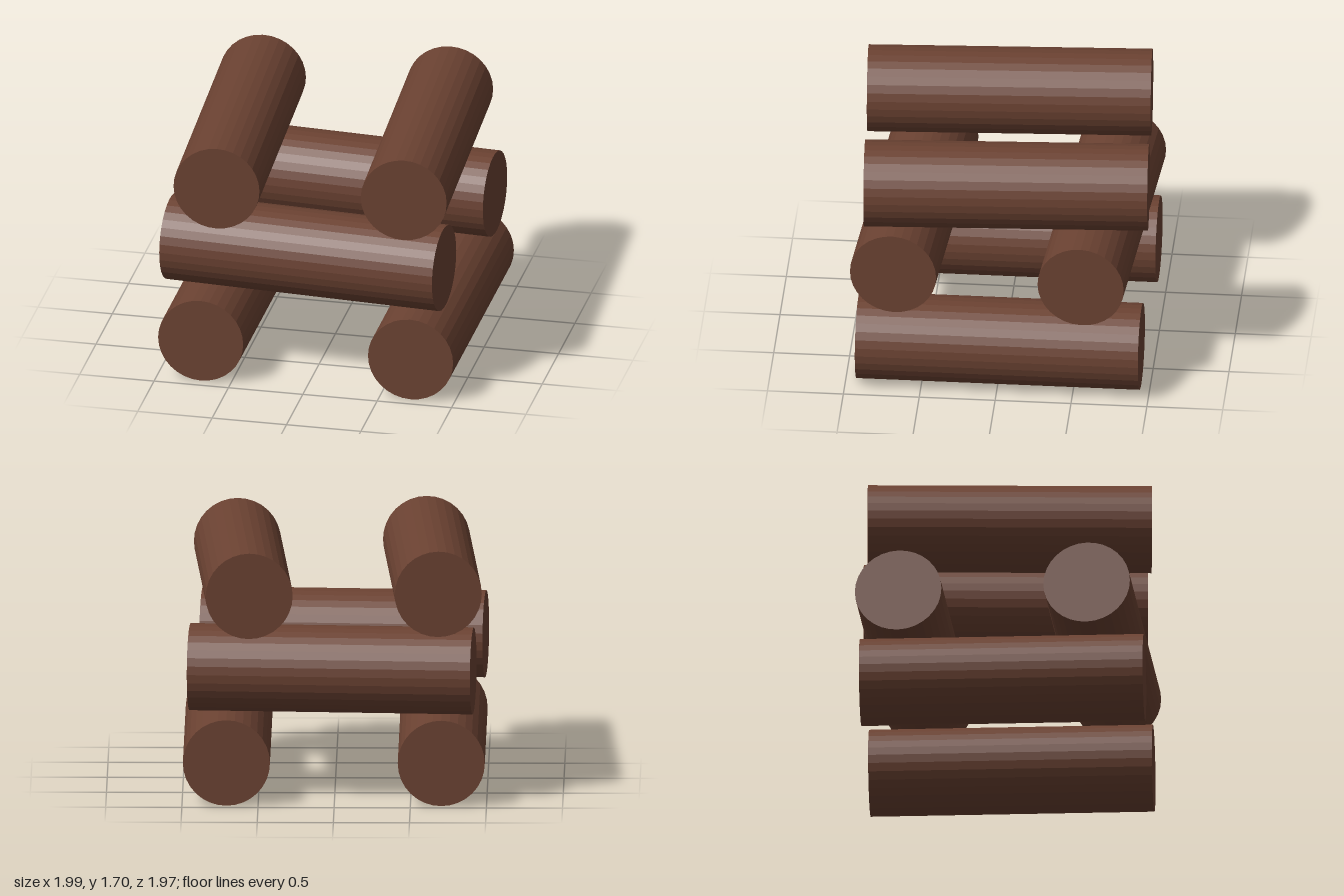
import * as THREE from 'three';

const RADIUS = 0.286;
const LENGTH = 1.865;

export function createModel() {
  const group = new THREE.Group();
  group.name = 'logStack';
  const bark = new THREE.MeshStandardMaterial({ color: 0x6b4232, flatShading: true });
  bark.name = 'brownWood';

  // One log lying along z, shared by the whole stack
  const logGeometry = new THREE.CylinderGeometry(RADIUS, RADIUS, LENGTH, 32).rotateX(Math.PI / 2);

  // name, centre x, y, z, turn about y in degrees
  const logs = [
    ['bottomLogRight', -0.703, 0.287, -0.007, 0],
    ['bottomLogLeft', 0.708, 0.287, -0.007, 0],
    ['middleLogFront', -0.05, 0.856, 0.62, 86.15],
    ['middleLogBack', 0.02, 0.856, -0.622, 86.15],
    ['topLogRight', -0.635, 1.41, 0.037, 2.95],
    ['topLogLeft', 0.606, 1.41, -0.043, 2.95],
  ];
  for (const [name, x, y, z, turn] of logs) {
    const log = new THREE.Mesh(logGeometry, bark);
    log.name = name;
    log.position.set(x, y, z);
    log.rotation.y = THREE.MathUtils.degToRad(turn);
    group.add(log);
  }
  return group;
}
